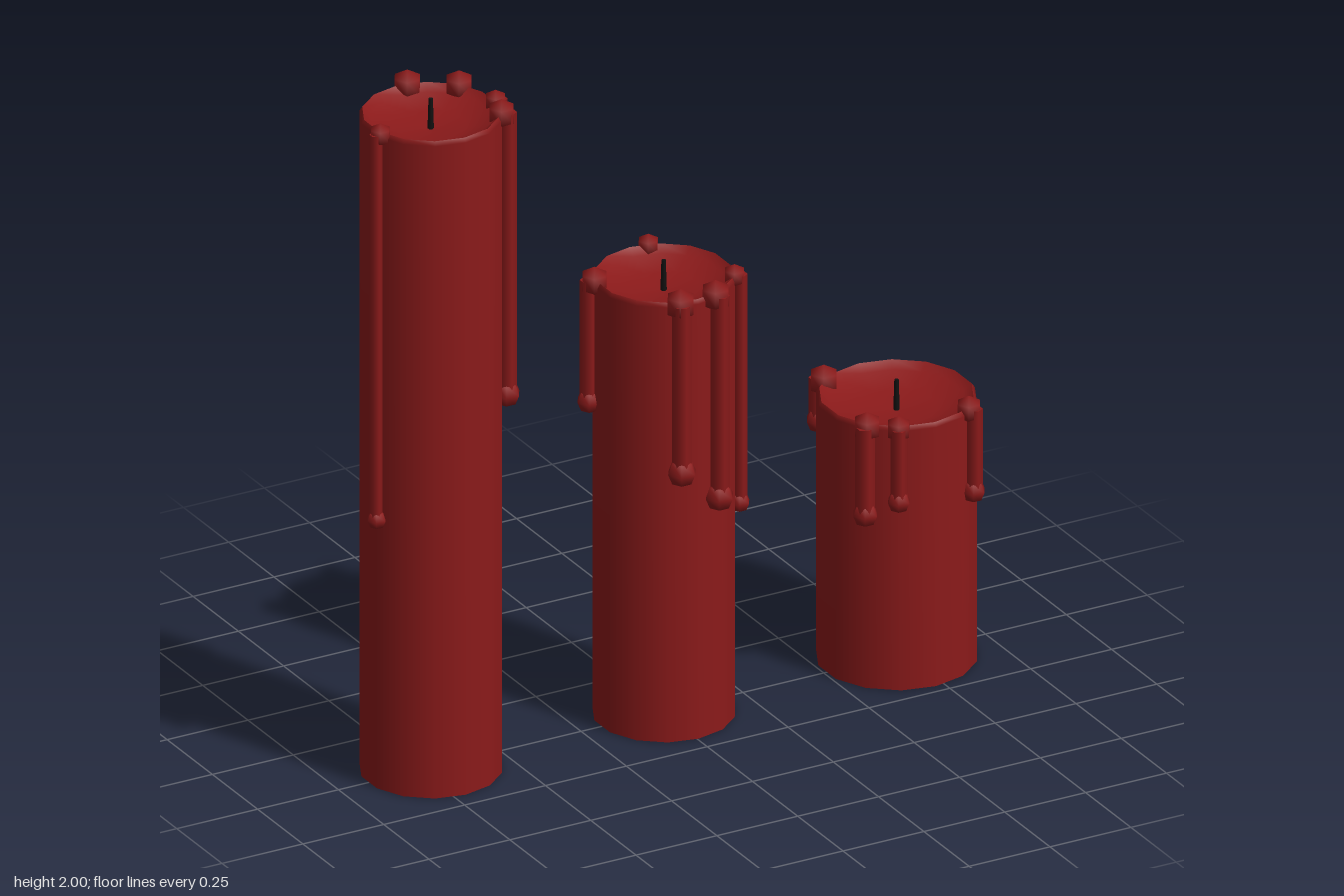
import * as THREE from 'three';

const wax = new THREE.MeshStandardMaterial({ color: 0x8b1a1a });
const char = new THREE.MeshStandardMaterial({ color: 0x111111 });
const SIDES = 14;

function add(parent, name, geometry, material, x = 0, y = 0, z = 0) {
  const mesh = new THREE.Mesh(geometry, material);
  mesh.name = name;
  mesh.position.set(x, y, z);
  parent.add(mesh);
  return mesh;
}

function lathe(points) {
  return new THREE.LatheGeometry(points.map(([r, y]) => new THREE.Vector2(r, y)), SIDES);
}

// A run of wax: a bead on the rim, a thin vertical trail and a drop at its end.
// dx, dz give the direction from the candle's axis.
function addDrip(candle, radius, height, [dx, dz, endY, topR, endR, trailR]) {
  const angle = Math.atan2(dx, dz);
  const at = (d) => [Math.sin(angle) * d, Math.cos(angle) * d];
  const drip = new THREE.Group();
  drip.name = 'waxDrip';
  candle.add(drip);

  const [bx, bz] = at(radius - 0.004);
  add(drip, 'rimBead', new THREE.SphereGeometry(topR, 6, 3), wax, bx, height - 0.005, bz);

  const [tx, tz] = at(radius + 0.012);
  const length = height - endY;
  add(drip, 'trail', new THREE.CylinderGeometry(trailR, trailR, length, 6),
    wax, tx, endY + length / 2, tz);

  const [ex, ez] = at(radius + 0.01);
  add(drip, 'endDrop', new THREE.SphereGeometry(endR, 6, 4), wax, ex, endY, ez);
}

function makeCandle(name, x, radius, height, drips) {
  const candle = new THREE.Group();
  candle.name = name;
  candle.position.x = x;

  // Wall with a small bevel at the rim
  add(candle, 'wall', lathe([
    [radius, 0], [radius, height - 0.012], [radius * 0.96, height],
  ]), wax);

  // Melted hollow around the wick
  add(candle, 'meltedTop', lathe([
    [radius * 0.96, height], [radius * 0.85, height - 0.02],
    [radius * 0.5, height - 0.043], [0, height - 0.05],
  ]), wax);

  // Shallow hollow underneath
  add(candle, 'base', lathe([
    [0, 0.04], [radius * 0.5, 0.034], [radius * 0.85, 0.015], [radius, 0],
  ]), wax);

  // Wick, slightly thicker at its foot
  add(candle, 'wick', new THREE.CylinderGeometry(0.006, 0.009, 0.1, 6), char, 0, height - 0.01, 0);

  drips.forEach((d) => addDrip(candle, radius, height, d));
  return candle;
}

export function createModel() {
  const model = new THREE.Group();
  model.name = 'candles';

  // Drips: direction x, direction z, end height, bead, drop and trail radii
  model.add(makeCandle('tallCandle', -0.715, 0.195, 1.96, [
    [-0.2, 0.055, 0.81, 0.034, 0.028, 0.018],
    [0.035, -0.2, 0.95, 0.045, 0.034, 0.024],
    [0.03, -0.2, 1.48, 0.04, 0.03, 0.018],
    [0.165, -0.125, 1.41, 0.045, 0.04, 0.026],
    [0.2, 0.02, 1.24, 0.034, 0.028, 0.018],
    [0.175, 0.1, 1.12, 0.043, 0.039, 0.026],
  ]));

  model.add(makeCandle('mediumCandle', 0.005, 0.195, 1.31, [
    [-0.2, -0.062, 0.95, 0.043, 0.036, 0.024],
    [-0.055, 0.2, 0.81, 0.046, 0.042, 0.027],
    [0.065, 0.2, 0.71, 0.046, 0.042, 0.027],
    [0.178, 0.105, 0.63, 0.034, 0.03, 0.02],
    [0.06, -0.2, 0.97, 0.034, 0.028, 0.018],
  ]));

  model.add(makeCandle('shortCandle', 0.725, 0.22, 0.785, [
    [-0.18, 0.147, 0.525, 0.043, 0.037, 0.027],
    [-0.105, 0.2, 0.57, 0.038, 0.033, 0.022],
    [0.132, 0.185, 0.54, 0.04, 0.034, 0.023],
    [-0.138, -0.19, 0.66, 0.046, 0.038, 0.027],
  ]));

  return model;
}
